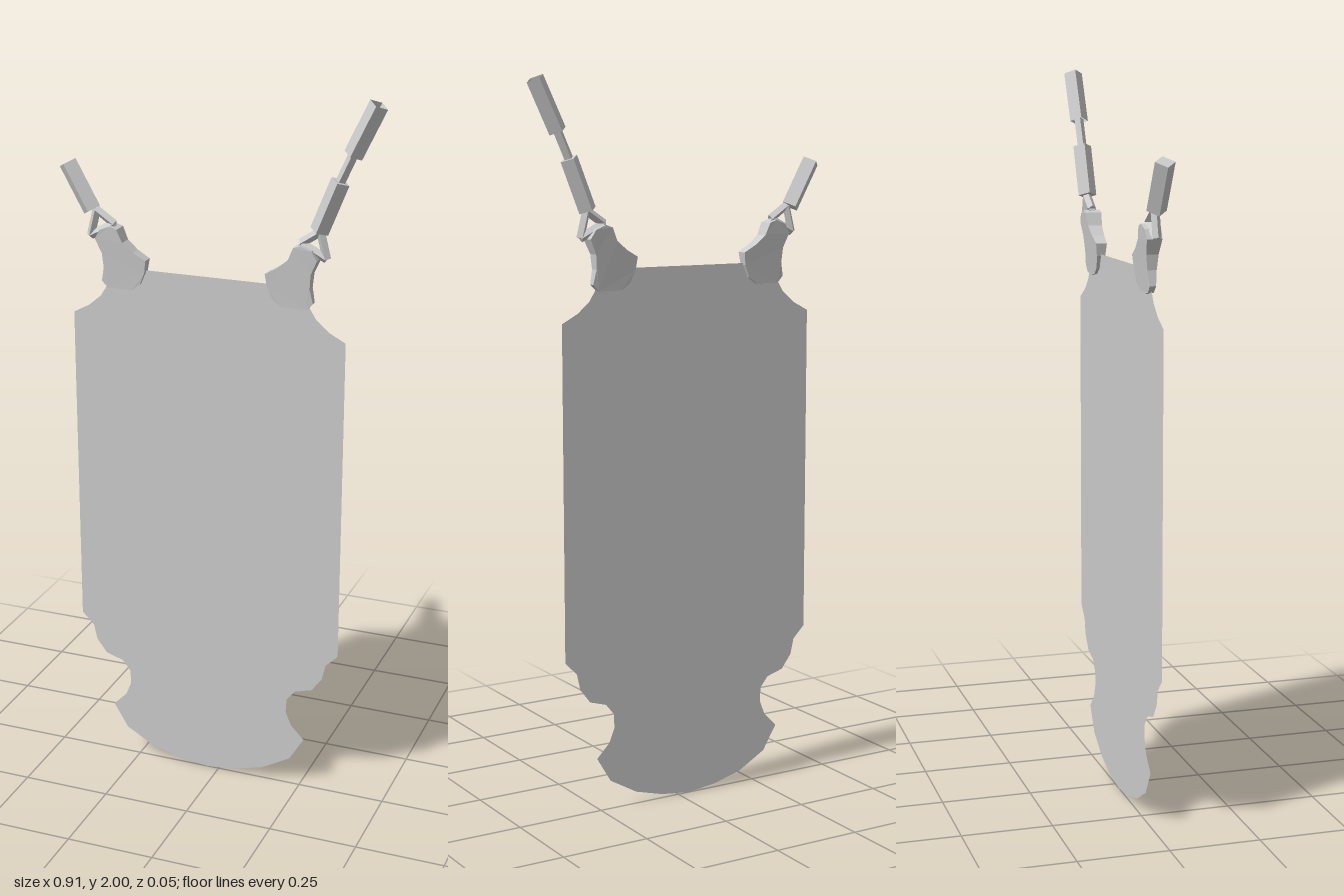
import * as THREE from 'three';

const CX = -0.035; // symmetry line of the sheet and its clamps

export function createModel() {
  const root = new THREE.Group();
  root.name = 'hangingSign';
  const mat = new THREE.MeshStandardMaterial({ color: 0xcccccc, flatShading: true, side: THREE.DoubleSide });

  function add(parent, geometry, name) {
    const mesh = new THREE.Mesh(geometry, mat);
    mesh.name = name;
    parent.add(mesh);
    return mesh;
  }

  // Four-sided bar between two points in the z = 0 plane
  function bar(parent, name, [ax, ay], [bx, by], r, open = false) {
    const a = new THREE.Vector3(ax, ay, 0), b = new THREE.Vector3(bx, by, 0);
    const dir = b.clone().sub(a);
    const mesh = add(parent, new THREE.CylinderGeometry(r, r, dir.length(), 4, 1, open), name);
    mesh.position.copy(a).add(b).multiplyScalar(0.5);
    mesh.quaternion.setFromUnitVectors(new THREE.Vector3(0, 1, 0), dir.normalize());
  }

  // Thin sheet: half outline from top to bottom, mirrored
  const half = [
    [0.27, 1.495], [0.285, 1.45], [0.31, 1.41], [0.345, 1.38], [0.392, 1.355],
    [0.392, 0.435], [0.357, 0.4], [0.347, 0.355], [0.317, 0.315], [0.267, 0.3],
    [0.243, 0.27], [0.241, 0.23], [0.257, 0.19], [0.296, 0.15], [0.254, 0.08],
    [0.172, 0.033], [0.087, 0.01], [0, 0],
  ];
  const outline = [
    ...half.map(([x, y]) => new THREE.Vector2(CX + x, y)),
    ...half.slice(0, -1).reverse().map(([x, y]) => new THREE.Vector2(CX - x, y)),
  ];
  add(root, new THREE.ShapeGeometry(new THREE.Shape(outline)), 'sheet');

  // Fan-shaped clamp, thick at the ring and thin at the jaw
  const fan = [
    [0.17, 1.525], [0.175, 1.49], [0.19, 1.455], [0.215, 1.437], [0.255, 1.43],
    [0.285, 1.437], [0.302, 1.455], [0.294, 1.495], [0.297, 1.535], [0.315, 1.575],
    [0.3, 1.6], [0.27, 1.612], [0.25, 1.605], [0.235, 1.57], [0.205, 1.545],
  ];
  function clampGeometry(s) {
    const shape = new THREE.Shape(fan.map(([x, y]) => new THREE.Vector2(CX + s * x, y)));
    const g = new THREE.ExtrudeGeometry(shape, { depth: 2, bevelEnabled: false });
    g.translate(0, 0, -1);
    const p = g.attributes.position;
    for (let i = 0; i < p.count; i++) {
      const t = THREE.MathUtils.clamp((p.getY(i) - 1.45) / 0.15, 0, 1);
      p.setZ(i, p.getZ(i) * (0.008 + 0.015 * t));
    }
    g.computeVertexNormals();
    return g;
  }

  // Clamp and triangular ring on each side
  for (const s of [1, -1]) {
    const hanger = new THREE.Group();
    hanger.name = s > 0 ? 'leftHanger' : 'rightHanger';
    root.add(hanger);
    add(hanger, clampGeometry(s), 'clamp');
    const ring = [[0.335, 1.578], [0.265, 1.615], [0.317, 1.65]].map(([x, y]) => [CX + s * x, y]);
    ring.forEach((p, i) => bar(hanger, 'ringSide', p, ring[(i + 1) % 3], 0.012));

    // Chain of square links, longer on the left
    if (s > 0) {
      bar(hanger, 'chainLink', [0.278, 1.65], [0.332, 1.785], 0.026);
      bar(hanger, 'chainConnector', [0.33, 1.78], [0.366, 1.86], 0.013);
      bar(hanger, 'chainLink', [0.364, 1.855], [0.428, 1.988], 0.026, true);
    } else {
      bar(hanger, 'chainLink', [-0.365, 1.648], [-0.434, 1.772], 0.027);
    }
  }
  return root;
}
